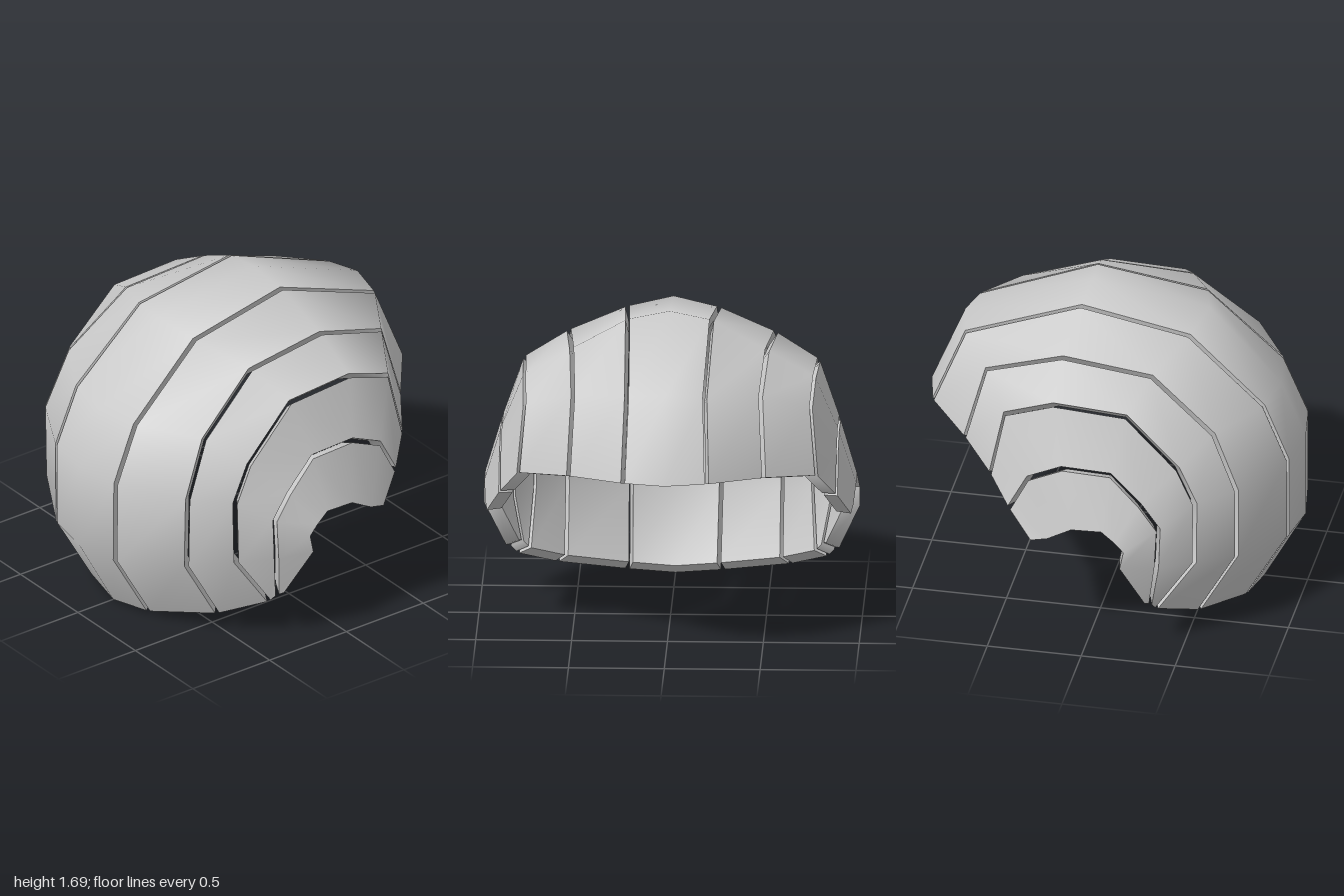
import * as THREE from 'three';
import { toCreasedNormals } from 'three/addons/utils/BufferGeometryUtils.js';

const THICKNESS = 0.08;
const GAP = 0.012;
const CORE = new THREE.Vector3(0, 0.7, 0);

// Seam lines between the plates, from the lower front over the top to the rear: [x, y, z]
const seams = [
  [[0, 0, .77], [0, .4, .99], [0, .87, .99], [0, 1.18, .86], [0, 1.59, .48], [0, 1.69, -.14], [0, 1.43, -.82], [0, .99, -1]],
  [[.25, .03, .73], [.255, .41, .95], [.26, .87, .95], [.255, 1.18, .82], [.24, 1.55, .42], [.22, 1.65, -.16], [.205, 1.41, -.78], [.22, .99, -.95]],
  [[.61, .12, .55], [.61, .47, .75], [.62, .87, .75], [.59, 1.18, .62], [.54, 1.46, .28], [.51, 1.5, -.2], [.49, 1.37, -.61], [.51, .96, -.72]],
  [[.81, .22, .36], [.79, .51, .56], [.78, .86, .56], [.78, 1.06, .47], [.77, 1.34, .19], [.76, 1.36, -.2], [.75, 1.27, -.46], [.78, .92, -.53]],
  [[.85, .27, .34], [.9, .52, .38], [.9, .75, .39], [.89, .88, .29], [.88, 1.04, .13], [.88, 1.05, -.13], [.88, .97, -.31], [.88, .78, -.41]],
  [[.87, .28, .31], [.98, .54, .2], [.98, .64, .22], [.975, .69, .17], [.97, .745, .1], [.97, .74, -.06], [.96, .665, -.19], [.95, .64, -.28]],
].map((line) => line.map((p) => new THREE.Vector3(...p)));

const mirror = (line) => line.map((p) => new THREE.Vector3(-p.x, p.y, p.z));

// Moves a line a little towards its neighbour to open the gap between plates
const inset = (line, other) =>
  line.map((p, i) => p.clone().add(other[i].clone().sub(p).setLength(Math.min(GAP, p.distanceTo(other[i]) * 0.3))));

// Thick curved plate spanned by lines that run in order of growing x
function plateGeometry(lines) {
  const n = lines.length;
  const rows = lines[0].length;
  const ring = 2 * n;
  const positions = [];
  const index = [];
  const quad = (a, b, c, d) => index.push(a, b, c, a, c, d);

  // Each row is a closed section: outer points, then inner points in reverse
  for (let i = 0; i < rows; i++) {
    const outer = lines.map((line) => line[i]);
    const inner = outer.map((p) => p.clone().add(CORE.clone().sub(p).setLength(THICKNESS)));
    [...outer, ...inner.reverse()].forEach((p) => positions.push(p.x, p.y, p.z));
  }
  for (let i = 0; i < rows - 1; i++) {
    for (let j = 0; j < ring; j++) {
      const k = (j + 1) % ring;
      quad(i * ring + j, i * ring + k, (i + 1) * ring + k, (i + 1) * ring + j);
    }
  }
  // End caps
  const last = (rows - 1) * ring;
  for (let j = 0; j < n - 1; j++) {
    const a = j, b = j + 1, c = ring - 2 - j, d = ring - 1 - j;
    quad(d, c, b, a);
    quad(last + a, last + b, last + c, last + d);
  }

  const geometry = new THREE.BufferGeometry();
  geometry.setAttribute('position', new THREE.Float32BufferAttribute(positions, 3));
  geometry.setIndex(index);
  return toCreasedNormals(geometry, 0.95);
}

export function createModel() {
  const model = new THREE.Group();
  model.name = 'segmentedShell';
  const material = new THREE.MeshStandardMaterial({ color: 0xcccccc });

  const addPlate = (name, lines) => {
    const mesh = new THREE.Mesh(plateGeometry(lines), material);
    mesh.name = name;
    model.add(mesh);
  };

  // Ridged middle plate
  const edge = inset(seams[1], seams[0]);
  addPlate('centerPlate', [mirror(edge), seams[0], edge]);

  // Four side plates on each side, shrinking outwards
  ['innerPlate', 'middlePlate', 'outerPlate', 'endPlate'].forEach((name, i) => {
    const near = inset(seams[i + 1], seams[i + 2]);
    const far = i === 3 ? seams[5] : inset(seams[i + 2], seams[i + 1]);
    addPlate(name + 'Left', [near, far]);
    addPlate(name + 'Right', [mirror(far), mirror(near)]);
  });

  return model;
}
